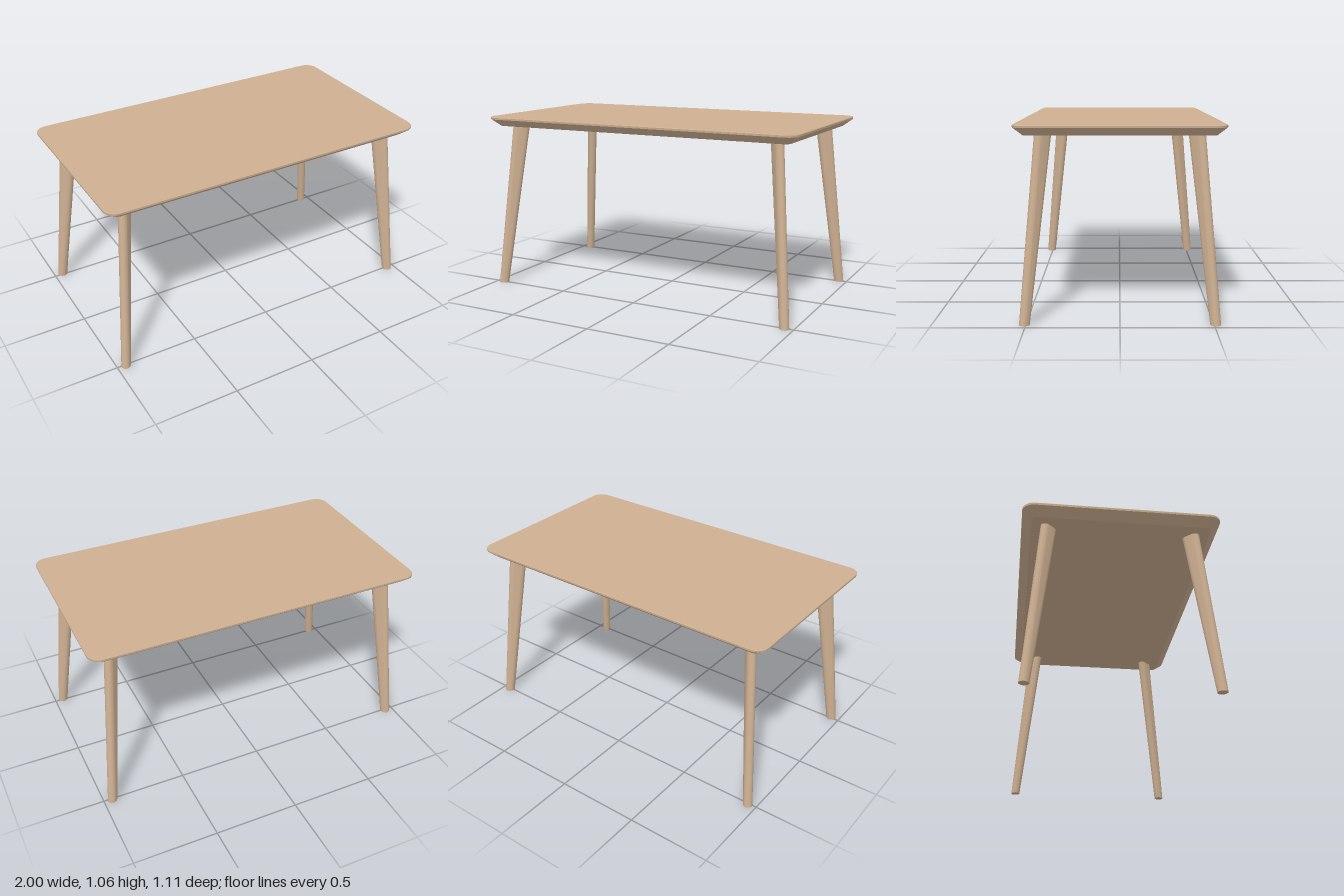
import * as THREE from 'three';
import { toCreasedNormals } from 'three/addons/utils/BufferGeometryUtils.js';

// Closed solid through rings of [x, y, z] points, listed from bottom to top
function loft(rings) {
  const n = rings[0].length;
  const index = [];
  for (let r = 0; r < rings.length - 1; r++) {
    for (let i = 0; i < n; i++) {
      const j = (i + 1) % n;
      const b = r * n, t = b + n;
      index.push(b + i, t + i, b + j, b + j, t + i, t + j);
    }
  }
  // Flat caps fanned from the first point of each end ring
  const top = (rings.length - 1) * n;
  for (let i = 1; i < n - 1; i++) {
    index.push(0, i, i + 1);
    index.push(top, top + i + 1, top + i);
  }
  const geometry = new THREE.BufferGeometry();
  geometry.setAttribute('position', new THREE.Float32BufferAttribute(rings.flat(2), 3));
  geometry.setIndex(index);
  return toCreasedNormals(geometry, 0.5);
}

// Horizontal rounded rectangle
function roundedRing(y, halfX, halfZ, radius, steps = 8) {
  const ring = [];
  [[1, 1], [-1, 1], [-1, -1], [1, -1]].forEach(([sx, sz], corner) => {
    for (let i = 0; i <= steps; i++) {
      const a = (corner + i / steps) * Math.PI / 2;
      ring.push([
        sx * (halfX - radius) + radius * Math.cos(a), y,
        sz * (halfZ - radius) + radius * Math.sin(a),
      ]);
    }
  });
  return ring;
}

// Horizontal stadium whose long axis points out to a table corner
function legRing(y, outer, inner, radius, sx, sz, steps = 10) {
  const ring = [];
  const heading = Math.atan2(sz, sx);
  [outer, inner].forEach(([x, z], end) => {
    for (let i = 0; i <= steps; i++) {
      const a = heading + (end - 0.5 + i / steps) * Math.PI;
      ring.push([sx * x + radius * Math.cos(a), y, sz * z + radius * Math.sin(a)]);
    }
  });
  return ring;
}

export function createModel() {
  const group = new THREE.Group();
  group.name = 'diningTable';

  const wood = new THREE.MeshStandardMaterial({ color: 0xceb092 });
  wood.name = 'light wood';

  // Top with a thin upright edge and a wide bevel underneath
  const tableTop = new THREE.Mesh(loft([
    roundedRing(1.004, 0.945, 0.505, 0.035),
    roundedRing(1.046, 0.999, 0.556, 0.07),
    roundedRing(1.057, 1.0, 0.557, 0.07),
    roundedRing(1.061, 0.997, 0.554, 0.067),
  ]), wood);
  tableTop.name = 'tableTop';
  group.add(tableTop);

  // Splayed legs, nearly round at the foot and drawn out to a blade at the top
  for (const [sx, sz, name] of [
    [1, 1, 'frontLeftLeg'], [-1, 1, 'frontRightLeg'],
    [1, -1, 'backLeftLeg'], [-1, -1, 'backRightLeg'],
  ]) {
    const leg = new THREE.Mesh(loft([
      legRing(0, [0.951, 0.51], [0.946, 0.505], 0.026, sx, sz),
      legRing(1.006, [0.863, 0.424], [0.828, 0.388], 0.026, sx, sz),
    ]), wood);
    leg.name = name;
    group.add(leg);
  }

  return group;
}
